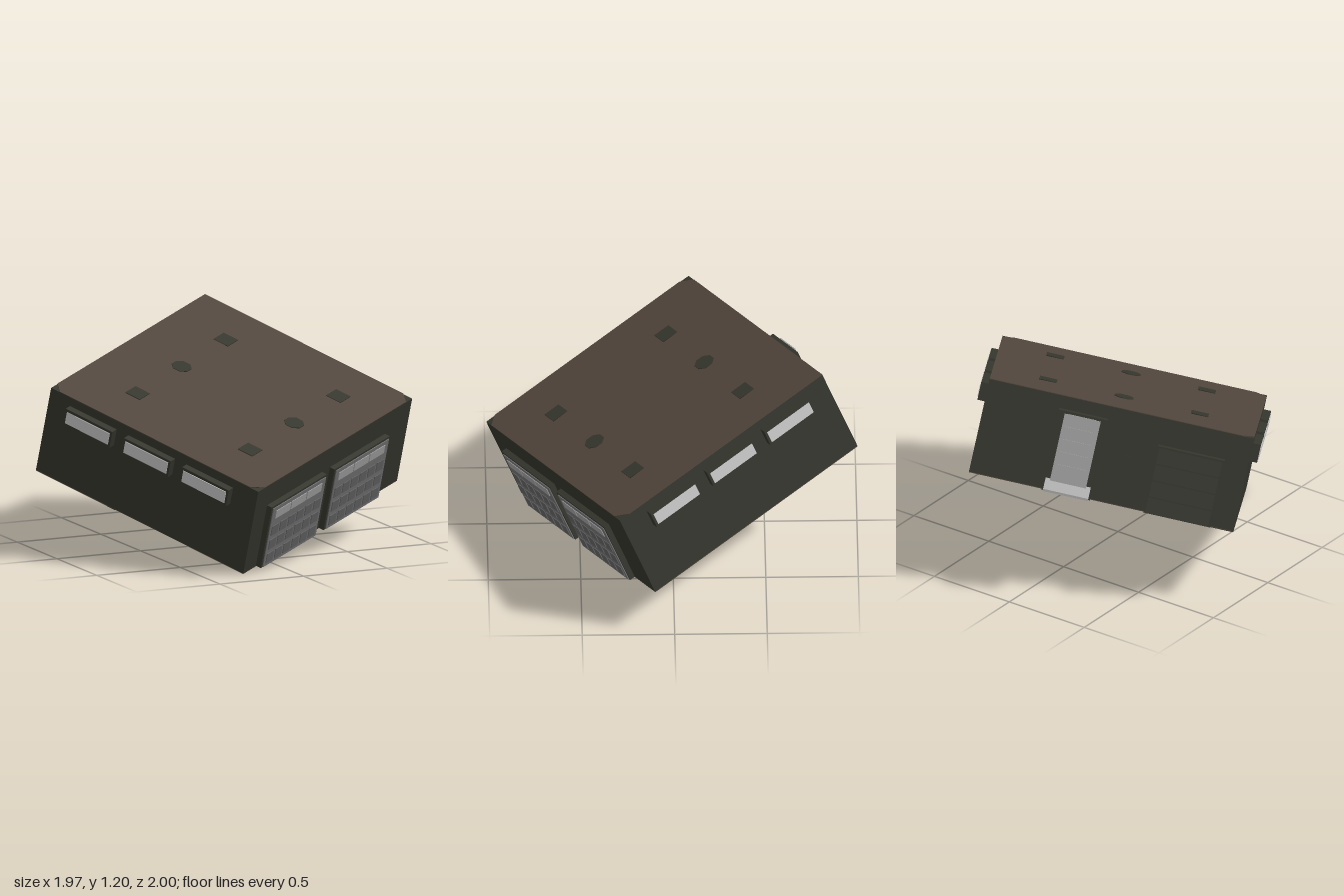
import * as THREE from 'three';

const W = 1.465, H = 0.52, D = 1.385;

function mat(name, color) {
  const m = new THREE.MeshStandardMaterial({ color });
  m.name = name;
  return m;
}

export function createModel() {
  const wallDark = mat('wallDark', 0x35362d);
  const roofBrown = mat('roofBrown', 0x51463c);
  const doorGrey = mat('doorGrey', 0x737375);
  const panelGrey = mat('panelGrey', 0x646466);
  const paleGrey = mat('paleGrey', 0xa2a2a2);
  const windowPale = mat('windowPale', 0xcacaca);

  const model = new THREE.Group();
  model.name = 'garage';
  const body = new THREE.Group();
  body.name = 'garageBody';
  body.position.set(0, 0.597, 0);
  body.rotation.set(0.374, 0.542, 0);
  model.add(body);

  function add(parent, name, geometry, material, x = 0, y = 0, z = 0) {
    const mesh = new THREE.Mesh(geometry, material);
    mesh.name = name;
    mesh.position.set(x, y, z);
    parent.add(mesh);
    return mesh;
  }
  // Box on a wall: centre x, y, and the depth range from z0 to z1
  function block(parent, name, material, x, y, w, h, z0, z1) {
    return add(parent, name, new THREE.BoxGeometry(w, h, z1 - z0), material, x, y, (z0 + z1) / 2);
  }
  // Group whose +z points out of a wall
  function wall(name, angle, distance) {
    const g = new THREE.Group();
    g.name = name;
    g.rotation.y = angle;
    g.position.set(Math.sin(angle) * distance, 0, Math.cos(angle) * distance);
    body.add(g);
    return g;
  }

  add(body, 'walls', new THREE.BoxGeometry(W, H, D), wallDark);

  // Roof sheet with three clipped corners
  const c = 0.06, x = W / 2, z = D / 2;
  const outline = [[-x + c, -z], [x - c, -z], [x, -z + c], [x, z], [-x, z], [-x, z - c * 0.0], [-x, z - c], [-x, -z + c]];
  // Shape y is -z of the body
  const roofShape = new THREE.Shape(outline
    .filter((p, i) => i !== 4 && i !== 5)
    .flatMap(([a, b], i) => (i === 4 ? [[-x + c, z], [a, b]] : [[a, b]]))
    .map(([a, b]) => new THREE.Vector2(a, b)));
  const roof = add(body, 'roofSheet',
    new THREE.ExtrudeGeometry(roofShape, { depth: 0.004, bevelEnabled: false }), roofBrown, 0, H / 2, 0);
  roof.rotation.x = -Math.PI / 2;

  // Roof vents, the middle ones with clipped corners
  for (const vz of [-0.34, 0.412]) {
    for (const vx of [-0.413, 0.007, 0.427]) {
      const round = Math.abs(vx) < 0.1;
      const g = new THREE.CylinderGeometry(round ? 0.056 : 0.068, round ? 0.056 : 0.068, 0.006, round ? 8 : 4);
      g.rotateY(round ? Math.PI / 8 : Math.PI / 4);
      add(body, 'roofVent', g, wallDark, vx, H / 2 + 0.005, vz);
    }
  }

  // Underside: brown floor with dark patches
  add(body, 'floorSheet', new THREE.BoxGeometry(W, 0.004, D), roofBrown, 0, -H / 2 - 0.002, 0);
  // s runs front to back, t runs from +x to -x
  const patches = [[0.02, 0.31, 0.13, 0.295], [0.02, 0.21, 0.29, 0.315], [0.02, 0.3, 0.31, 0.46],
    [0.43, 0.83, 0.02, 0.32], [0.81, 0.95, 0.19, 0.6], [0.62, 1, 0.66, 1]];
  for (const [s0, s1, t0, t1] of patches) {
    add(body, 'floorPatch', new THREE.BoxGeometry((t1 - t0) * W, 0.003, (s1 - s0) * D), wallDark,
      W / 2 - (t0 + t1) / 2 * W, -H / 2 - 0.005, D / 2 - (s0 + s1) / 2 * D);
  }
  for (const [s, t, r] of [[0.083, 0.915, 0.05], [0.2, 0.935, 0.026], [0.27, 0.94, 0.016], [0.45, 0.95, 0.03]]) {
    add(body, 'floorSpot', new THREE.CylinderGeometry(r, r, 0.003, 12), wallDark,
      W / 2 - t * W, -H / 2 - 0.005, D / 2 - s * D);
  }

  // Two panelled front doors
  const front = wall('frontWall', 0, D / 2);
  for (const dx of [-0.35, 0.248]) {
    const door = new THREE.Group();
    door.name = 'frontDoor';
    door.position.x = dx;
    front.add(door);
    block(door, 'doorFrame', wallDark, 0, -0.067, 0.525, 0.386, -0.01, 0.032);
    block(door, 'doorLeaf', doorGrey, 0.003, -0.072, 0.5, 0.372, 0.03, 0.037);
    for (let i = -1; i <= 1; i++) {
      block(door, 'doorWindow', paleGrey, i * 0.148, 0.066, 0.14, 0.05, 0.035, 0.041);
    }
    for (let row = 0; row < 3; row++) {
      for (let col = 0; col < 6; col++) {
        block(door, 'doorPanel', panelGrey, (col - 2.5) * 0.08, -0.035 - row * 0.087, 0.062, 0.06, 0.035, 0.041);
      }
    }
  }

  // Three framed windows on each side wall
  for (const side of [1, -1]) {
    const sideWall = wall(side > 0 ? 'leftWall' : 'rightWall', side * Math.PI / 2, W / 2);
    for (const wz of [-0.4, -0.01, 0.378]) {
      block(sideWall, 'windowFrame', wallDark, -side * wz, 0.16, 0.312, 0.1, -0.01, 0.042);
      block(sideWall, 'windowGlass', windowPale, -side * wz, 0.16, 0.285, 0.07, 0.04, 0.046);
    }
  }

  // Back wall: x here runs opposite to the body
  const back = wall('backWall', Math.PI, D / 2);
  block(back, 'shutterFrame', wallDark, 0.42, -0.073, 0.37, 0.374, -0.01, 0.05);
  for (let i = 0; i < 4; i++) {
    const slat = block(back, 'shutterSlat', wallDark, 0.42, -0.215 + i * 0.092, 0.35, 0.084, 0.045, 0.06);
    slat.rotation.x = -0.08;
  }
  block(back, 'backDoorFrame', wallDark, -0.195, -0.035, 0.27, 0.45, -0.01, 0.05);
  block(back, 'backDoorLeaf', paleGrey, -0.195, -0.025, 0.2, 0.4, 0.048, 0.056);
  for (let i = 0; i < 5; i++) {
    block(back, 'backDoorPanel', paleGrey, -0.195, -0.13 + i * 0.07, 0.16, 0.055, 0.054, 0.062);
  }
  block(back, 'wallPlate', wallDark, 0.09, 0.0, 0.05, 0.03, -0.002, 0.004);

  // Sloping doorstep
  const wedge = new THREE.Shape([[0.03, 0], [0.085, 0], [0.085, 0.012], [0.05, 0.07], [0.03, 0.07]]
    .map(([a, b]) => new THREE.Vector2(a, b)));
  const step = add(back, 'doorstep',
    new THREE.ExtrudeGeometry(wedge, { depth: 0.25, bevelEnabled: false }), paleGrey, -0.07, -H / 2, 0);
  step.rotation.y = -Math.PI / 2;

  return model;
}
